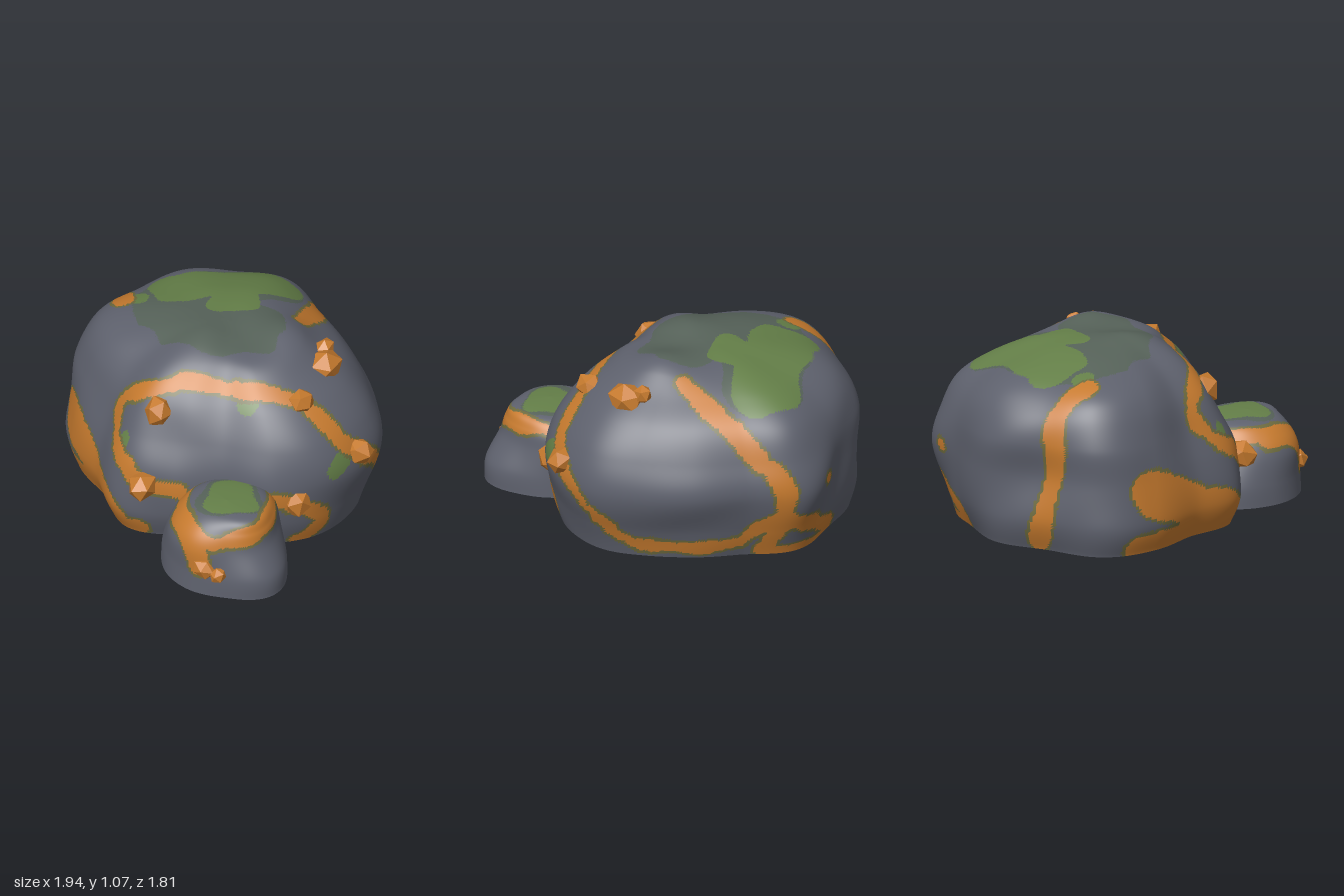
import * as THREE from 'three';

const mat = (name, color) => {
  const m = new THREE.MeshStandardMaterial({ color });
  m.name = name;
  return m;
};

// Catmull-Rom through four values
const cr = (a, b, c, d, t) =>
  b + 0.5 * t * (c - a + t * (2 * a - 5 * b + 4 * c - d + t * (3 * (b - c) + d - a)));

// Smooth value of an evenly spaced closed loop at turn u (0 = front, 0.25 = +x)
function around(loop, u) {
  const n = loop.length, k = Math.floor(u * n), at = i => loop[(i + n) % n];
  return cr(at(k - 1), at(k), at(k + 1), at(k + 2), u * n - k);
}

// Skin lofted from bottom to top: plan outline scaled at each level [y, factors round the loop]
function skin(outline, levels, [cx, cz], sides, perLevel, shape) {
  const rows = (levels.length - 1) * perLevel, pts = [], index = [];
  const at = i => levels[Math.min(Math.max(i, 0), levels.length - 1)];
  for (let j = 0; j <= rows; j++) {
    const k = Math.min(Math.floor(j / perLevel), levels.length - 2), t = j / perLevel - k;
    const four = [at(k - 1), at(k), at(k + 1), at(k + 2)];
    const y = cr(...four.map(l => l[0]), t);
    for (let i = 0; i < sides; i++) {
      const u = i / sides, a = u * Math.PI * 2;
      const r = around(outline, u) * Math.max(0, cr(...four.map(l => around(l[1], u)), t));
      const p = new THREE.Vector3(cx + r * Math.sin(a), y, cz + r * Math.cos(a));
      if (shape) shape(p);
      pts.push(p);
      if (j < rows) {
        const b = j * sides + (i + 1) % sides, d = j * sides + i;
        index.push(d, b, b + sides, d, b + sides, d + sides);
      }
    }
  }
  const geo = new THREE.BufferGeometry().setFromPoints(pts);
  geo.setIndex(index);
  geo.computeVertexNormals();
  return { geo, pts, index };
}

// Turns strokes [radius, ...points] into dots lying on the surface
function dotsOn(pts, strokes) {
  const dots = [];
  for (const [r, ...path] of strokes) {
    const nodes = path.map(p => new THREE.Vector3(...p));
    let line = nodes;
    if (nodes.length > 1) {
      const curve = new THREE.CatmullRomCurve3(nodes);
      line = curve.getSpacedPoints(Math.ceil(curve.getLength() / 0.025));
    }
    for (const p of line) {
      let best = pts[0], bd = Infinity;
      for (const q of pts) {
        const d = q.distanceToSquared(p);
        if (d < bd) { bd = d; best = q; }
      }
      dots.push([best, r]);
    }
  }
  return dots;
}

// Sorts the faces of a skin into colour groups: stone, ore, rim, moss, thin moss
function paint({ geo, pts, index }, { ore, moss, thin }) {
  const [o, m, t] = [ore, moss, thin].map(s => dotsOn(pts, s));
  const near = (dots, c) => {
    let d = Infinity;
    for (const [p, r] of dots) d = Math.min(d, p.distanceTo(c) - r);
    return d;
  };
  const buckets = [[], [], [], [], []], c = new THREE.Vector3();
  for (let i = 0; i < index.length; i += 3) {
    const f = index.slice(i, i + 3);
    c.copy(pts[f[0]]).add(pts[f[1]]).add(pts[f[2]]).divideScalar(3);
    const w = 0.008 * Math.sin(23 * c.x + 9 * c.y) + 0.008 * Math.sin(27 * c.z - 19 * c.y);
    const d = near(o, c) + w;
    const k = d < 0 ? 1 : d < 0.018 ? 2
      : near(m, c) + 2 * w < 0 ? 3 : near(t, c) + 2 * w < 0 ? 4 : 0;
    buckets[k].push(...f);
  }
  geo.setIndex(buckets.flat());
  let start = 0;
  buckets.forEach((b, k) => { geo.addGroup(start, b.length, k); start += b.length; });
  return geo;
}

// Uneven swelling of the boulder, with two low summits and a saddle between
function weather(p) {
  const bump = (x, z, h) => h * Math.exp(-((p.x - x) ** 2 + (p.z - z) ** 2) / 0.03);
  const s = 1 + 0.012 * Math.sin(9 * p.x + 5 * p.y) * Math.sin(8 * p.z - 6 * p.y + 1);
  p.x *= s;
  p.z *= s;
  const top = THREE.MathUtils.clamp((p.y - 0.8) * 5, 0, 1);
  p.y += top * (bump(-0.03, 0.15, 0.03) + bump(0.24, -0.2, 0.045) - bump(0.1, 0, 0.03));
}

export function createModel() {
  const model = new THREE.Group();
  model.name = 'oreBoulder';
  const stone = mat('stone', 0x5e616d), ore = mat('copperOre', 0xc67a2e);
  const paints = [stone, ore, mat('oreRim', 0x6c6a3e), mat('moss', 0x647f48), mat('thinMoss', 0x566259)];
  const add = (name, geo, material) => {
    const mesh = new THREE.Mesh(geo, material);
    mesh.name = name;
    model.add(mesh);
    return mesh;
  };

  // Main boulder: plan outline, then factors for front, +x, back, -x
  const plan = [.86, .76, .71, .83, .9, .91, .84, .79, .81, .93, .88, .91, .88, .96, .9, .79];
  const levels = [
    [0.03, [.92, .89, .83, .93]],
    [0.2, [.99, .95, .9, .98]],
    [0.45, [.96, 1, 1, .95]],
    [0.65, [.85, .94, .93, .97]],
    [0.82, [.74, .79, .82, .9]],
    [0.94, [.6, .61, .63, .75]],
    [1.02, [.43, .45, .42, .46]],
    [1.055, [.22]],
    [1.065, [0]],
  ];
  const centre = [-0.05, -0.03];
  const frontLoop = [.045, [.58, .86, 0], [.45, .92, .17], [.12, .96, .43], [-.1, .82, .56], [-.23, .74, .62],
    [-.19, .6, .7], [.1, .4, .8], [.3, .38, .68]];
  const sideVein = [.04, [.58, .86, 0], [.78, .62, -.12], [.85, .55, -.22], [.72, .22, -.52], [.58, .1, -.62],
    [0, .14, -.7], [-.25, .33, -.82]];
  const backVein = [.052, [.18, 1.01, -.4], [-.03, .8, -.7], [-.27, .48, -.9], [-.27, .3, -.83], [-.2, .08, -.7]];
  const backFoot = [.05, [-.28, .33, -.85], [-.62, .05, -.6], [-.25, .07, -.72]];
  const backSpot = [.035, [-.54, .47, -.76]];
  const leftVein = [.055, [-.68, .94, .18], [-.86, .83, .06], [-.92, .5, .06], [-.9, .08, -.05]];
  const frontPatch = [.125, [-.7, .39, .6], [-.4, .23, .72], [-.1, .1, .8]];
  const frontFoot = [.08, [-.76, .06, .5], [-.5, .08, .65], [.05, .05, .8]];
  const cornerVein = [.05, [.66, .38, .27], [.8, .2, .02], [.7, .05, .12]];
  add('boulder', paint(skin(plan, levels, centre, 300, 14, weather), {
    ore: [frontLoop, sideVein, backVein, backFoot, backSpot, leftVein, frontPatch, frontFoot, cornerVein],
    moss: [
      [.19, [-.25, .98, -.54], [-.35, 1.02, -.35], [-.52, 1, -.1]],
      [.15, [-.18, 1.05, -.2]], [.07, [-.6, .95, .1]],
      [.07, [.42, .9, .23]], [.05, [-.1, .6, .74]], [.06, [.8, .52, -.05]],
    ],
    thin: [[.24, [-.25, 1, -.48], [-.45, 1, 0], [-.2, 1.04, .1], [.05, 1.06, -.05]]],
  }), paints);
  const underside = [[0.005, [0]], levels[0]];
  add('boulderUnderside', skin(plan, underside, centre, 64, 2, weather).geo, stone);

  // Small rock at the front
  const smallPlan = [.31, .3, .38, .34, .35, .38, .42, .36];
  const smallLevels = [
    [0.03, [1]],
    [0.15, [.98]],
    [0.3, [.97, .76, .96, .84]],
    [0.4, [.81, .68, .88, .7]],
    [0.47, [.5, .54, .62, .5]],
    [0.49, [0]],
  ];
  const smallCentre = [0.62, 0.6];
  add('smallRock', paint(skin(smallPlan, smallLevels, smallCentre, 130, 14), {
    ore: [
      [.045, [.7, .42, .33], [.85, .4, .58], [.75, .36, .82], [.45, .4, .76], [.34, .38, .5]],
      [.065, [.45, .38, .78], [.62, .35, .86], [.7, .22, .9]],
    ],
    moss: [[.14, [.58, .49, .52], [.64, .49, .58]]],
    thin: [[.19, [.6, .49, .55]]],
  }), paints);
  add('smallRockUnderside', skin(smallPlan, [[0.02, [0]], smallLevels[0]], smallCentre, 48, 2).geo, stone);

  // Ore crystals: [x, y, z, radius]
  const crystals = [
    [.04, .78, .58, .09], [.11, .4, .77, .09], [.59, .86, 0, .08], [.72, .2, .86, .065], [.8, .18, .83, .05],
    [.75, .34, .18, .09], [.83, .54, -.21, .085], [.7, .6, -.31, .07], [.47, .9, -.28, .11], [.4, .95, -.35, .06],
  ];
  const gem = new THREE.IcosahedronGeometry(1, 0);
  crystals.forEach(([x, y, z, r], i) => {
    const c = add('crystal' + (i + 1), gem, ore);
    c.position.set(x, y, z);
    c.rotation.set(i * 1.3, i * 2.1, i * 0.7);
    c.scale.set(r * 0.9, r * 1.12, r * 0.95);
  });
  return model;
}
